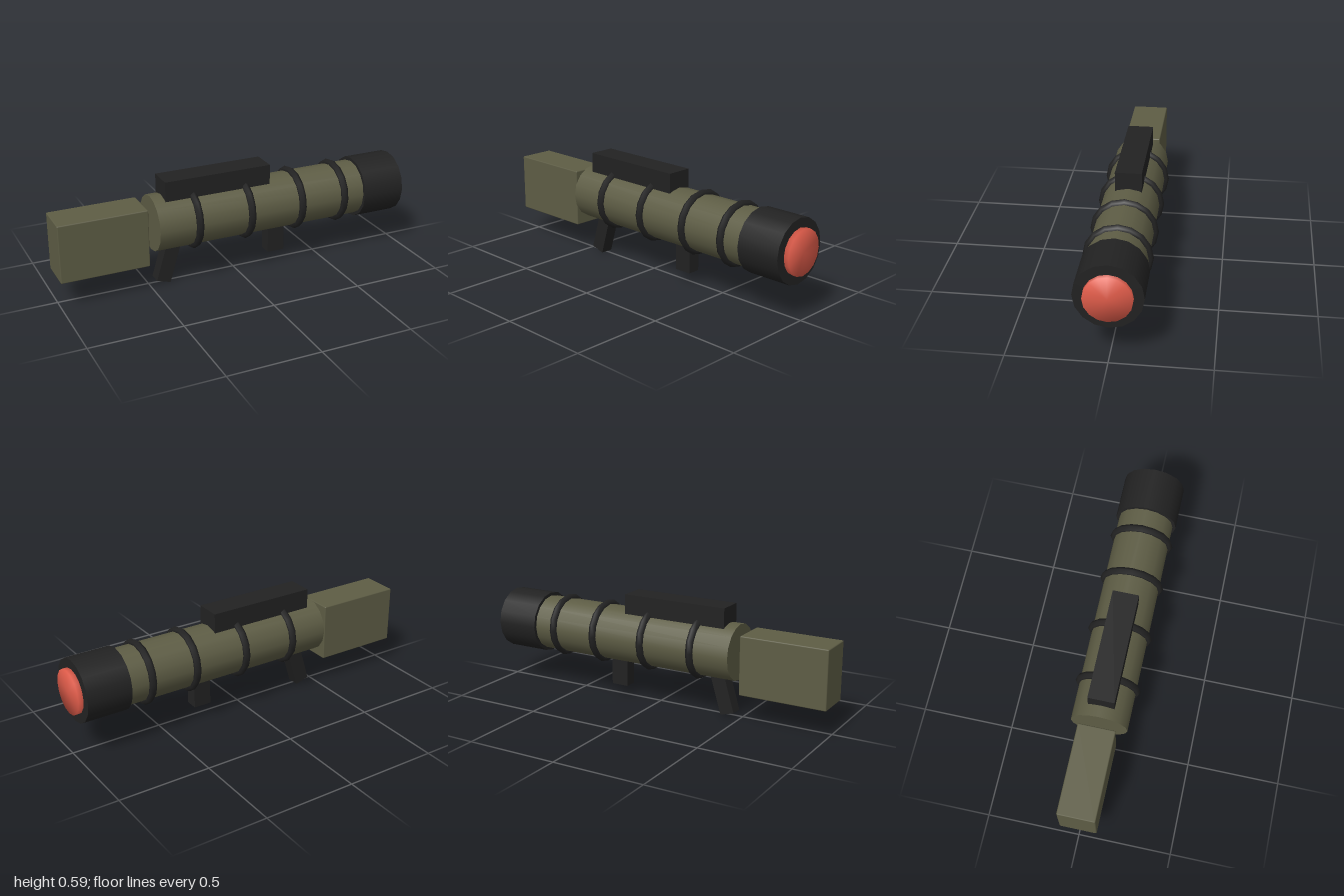
import * as THREE from 'three';
import { mergeVertices } from 'three/addons/utils/BufferGeometryUtils.js';
import { RoundedBoxGeometry } from 'three/addons/geometries/RoundedBoxGeometry.js';

const AXIS_Y = 0.352; // height of the barrel axis
const SIDES = 16;

export function createModel() {
  const model = new THREE.Group();
  const material = (name, color) => {
    const m = new THREE.MeshStandardMaterial({ color });
    m.name = name;
    return m;
  };
  const olive = material('olive', 0x5e5d45);
  const black = material('black', 0x222222);
  const red = material('red', 0xe05c4a);

  const add = (name, geometry, mat, x, y) => {
    const mesh = new THREE.Mesh(geometry, mat);
    mesh.name = name;
    mesh.position.set(x, y, 0);
    model.add(mesh);
    return mesh;
  };
  // Cylinder lying along x between x0 and x1
  const drum = (x0, x1, radius) =>
    new THREE.CylinderGeometry(radius, radius, x1 - x0, SIDES).rotateZ(-Math.PI / 2);
  const addDrum = (name, mat, x0, x1, radius) =>
    add(name, drum(x0, x1, radius), mat, (x0 + x1) / 2, AXIS_Y);

  // Barrel, muzzle and glowing tip
  addDrum('barrel', olive, -0.477, 0.735, 0.152);
  addDrum('muzzle', black, 0.73, 0.973, 0.17);
  let tip = drum(0.94, 1, 0.12);
  tip.deleteAttribute('normal');
  tip.deleteAttribute('uv');
  tip = mergeVertices(tip); // shared corners give the tip a soft, domed shading
  tip.computeVertexNormals();
  add('tip', tip, red, 0.97, AXIS_Y);

  // Bands around the barrel
  for (const x of [-0.258, 0.043, 0.346, 0.607]) {
    const band = new THREE.TorusGeometry(0.155, 0.021, 6, SIDES).rotateY(Math.PI / 2);
    add('band', band, black, x, AXIS_Y);
  }

  // Shoulder stock block with a fine bevel
  add('stock', new RoundedBoxGeometry(0.48, 0.318, 0.2, 1, 0.006), olive, -0.76, 0.311);

  // Sight rail on top
  add('sight', new THREE.BoxGeometry(0.6, 0.11, 0.14), black, -0.115, 0.538);

  // Grips below: upright front one, tilted rear one
  add('frontGrip', new THREE.BoxGeometry(0.098, 0.17, 0.07), black, 0.246, 0.145);
  const rear = new THREE.BoxGeometry(0.08, 0.22, 0.07).translate(0, 0.11, 0);
  add('rearGrip', rear, black, -0.424, 0.0115).rotation.z = -0.288;

  return model;
}
